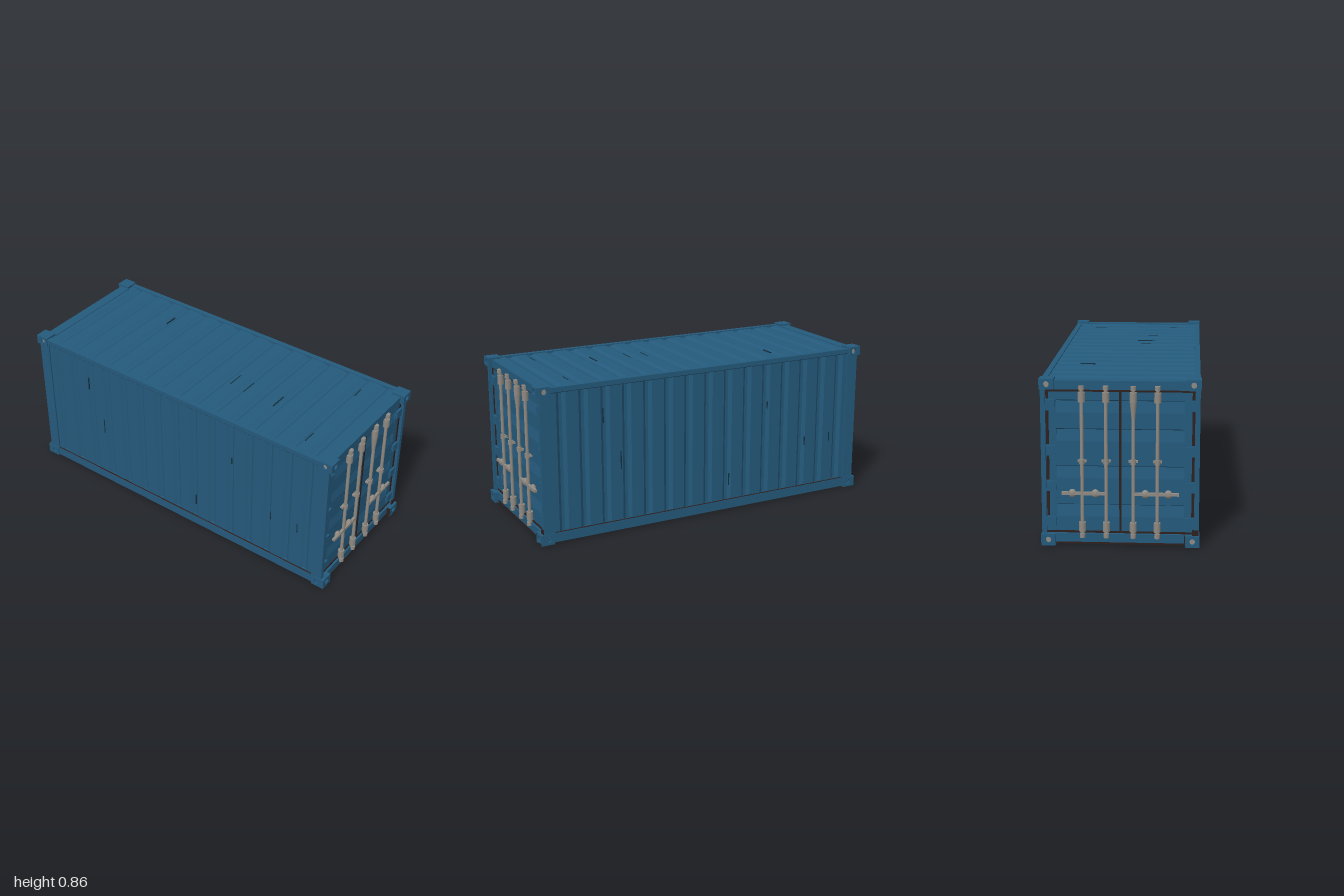
import * as THREE from 'three';

const mat = (name, color, side = THREE.FrontSide) => {
  const m = new THREE.MeshStandardMaterial({ color, side });
  m.name = name;
  return m;
};

export function createModel() {
  const blue = mat('blue paint', 0x24597b);
  const shade = mat('dark blue seam', 0x14303f);
  const rust = mat('dark rust', 0x2e201f);
  const steel = mat('bare steel', 0x8f8981);

  const add = (parent, name, geo, material, x = 0, y = 0, z = 0) => {
    const m = new THREE.Mesh(geo, material);
    m.name = name;
    m.position.set(x, y, z);
    parent.add(m);
    return m;
  };
  // Box given by its limits on each axis
  const box = (parent, name, material, [x0, x1], [y0, y1], [z0, z1]) =>
    add(parent, name, new THREE.BoxGeometry(x1 - x0, y1 - y0, z1 - z0), material,
      (x0 + x1) / 2, (y0 + y1) / 2, (z0 + z1) / 2);
  const rod = (parent, name, r0, r1, y0, y1, x, z, sides = 12) =>
    add(parent, name, new THREE.CylinderGeometry(r1, r0, y1 - y0, sides), steel, x, (y0 + y1) / 2, z);
  const extrude = (shape, depth) =>
    new THREE.ExtrudeGeometry(shape, { depth, bevelEnabled: false, curveSegments: 8 });

  // Corrugated sheet section: trapezoid grooves along x
  const corrugated = (back, face, groove) => {
    const n = 15, half = 0.925, pitch = 2 * half / n;
    const s = new THREE.Shape();
    s.moveTo(half, back);
    s.lineTo(-half, back);
    s.lineTo(-half, face);
    for (let i = 0; i < n; i++) {
      const x = -half + i * pitch;
      s.lineTo(x + 0.035, face);
      s.lineTo(x + 0.053, groove);
      s.lineTo(x + 0.07, groove);
      s.lineTo(x + 0.088, face);
    }
    s.lineTo(half, face);
    s.closePath();
    return s;
  };

  // Corner casting with real openings on the end and side faces
  const platedHole = (w, h, hx) => {
    const s = new THREE.Shape();
    s.moveTo(-w / 2, -h / 2);
    s.lineTo(w / 2, -h / 2);
    s.lineTo(w / 2, h / 2);
    s.lineTo(-w / 2, h / 2);
    s.closePath();
    const hole = new THREE.Path();
    hole.absellipse(hx, 0, 0.014, 0.016, 0, Math.PI * 2, true);
    s.holes.push(hole);
    return extrude(s, 0.012);
  };
  const casting = (parent, y0, y1, sz) => {
    const g = new THREE.Group();
    g.name = 'cornerCasting';
    parent.add(g);
    const h = y1 - y0, yc = (y0 + y1) / 2;
    const zs = [0.325 * sz, 0.386 * sz].sort((a, b) => a - b);
    box(g, 'castingCore', blue, [0.925, 0.988], [y0, y1], zs);
    add(g, 'castingEndFace', platedHole(0.073, h, 0).rotateY(Math.PI / 2), blue, 0.988, yc, 0.3615 * sz);
    const turn = sz > 0 ? 0 : Math.PI;
    add(g, 'castingSideFace', platedHole(0.063, h, 0).rotateY(turn), blue, 0.9565, yc, 0.386 * sz);
    add(g, 'endOpening', new THREE.CircleGeometry(0.016, 12).rotateY(Math.PI / 2), steel, 0.9885, yc, 0.3615 * sz);
    add(g, 'sideOpening', new THREE.CircleGeometry(0.016, 12).rotateY(turn), steel, 0.9565, yc, 0.3865 * sz);
  };

  // One door leaf, stepped by downward sloping horizontal ribs
  const doorLeaf = (parent, z0, z1) => {
    const s = new THREE.Shape();
    s.moveTo(0.93, 0.06);
    s.lineTo(0.962, 0.06);
    for (const y of [0.21, 0.41, 0.6, 0.745]) {
      s.lineTo(0.962, y - 0.065);
      s.lineTo(0.95, y - 0.006);
      s.lineTo(0.962, y);
    }
    s.lineTo(0.962, 0.8);
    s.lineTo(0.93, 0.8);
    s.closePath();
    add(parent, 'doorLeaf', extrude(s, z1 - z0), blue, 0, 0, z0);
  };

  const buildDoorEnd = (g) => {
    box(g, 'header', blue, [0.92, 0.978], [0.8, 0.845], [-0.33, 0.33]);
    box(g, 'sill', blue, [0.92, 0.978], [0.01, 0.06], [-0.33, 0.33]);
    box(g, 'sillRust', rust, [0.977, 0.98], [0.006, 0.015], [-0.33, 0.33]);
    box(g, 'centreGasket', rust, [0.955, 0.964], [0.06, 0.8], [-0.006, 0.006]);
    box(g, 'topGasket', rust, [0.955, 0.966], [0.787, 0.796], [-0.37, 0.37]);
    box(g, 'bottomGasket', rust, [0.955, 0.966], [0.06, 0.07], [-0.37, 0.37]);
    for (const sz of [1, -1]) {
      const span = (a, b) => [a * sz, b * sz].sort((p, q) => p - q);
      doorLeaf(g, ...span(0.005, 0.322));
      box(g, 'doorStile', blue, [0.93, 0.963], [0.06, 0.8], span(0.318, 0.372));
      box(g, 'cornerPost', blue, [0.918, 0.983], [0.05, 0.81], span(0.37, 0.394));
      casting(g, 0, 0.06, sz);
      casting(g, 0.802, 0.855, sz);
      for (const y of [0.12, 0.305, 0.49, 0.72])
        box(g, 'hinge', blue, [0.95, 0.974], [y - 0.024, y + 0.024], span(0.322, 0.374));
      for (const [y0, y1] of [[0.15, 0.275], [0.335, 0.46], [0.52, 0.69], [0.75, 0.79]])
        box(g, 'jambRust', rust, [0.955, 0.966], [y0, y1], span(0.355, 0.369));
      // Locking handle with its two catches
      box(g, 'lockHandle', steel, [0.975, 0.99], [0.264, 0.279], span(0.068, 0.293));
      for (const z of [0.125, 0.24])
        add(g, 'handleCatch', new THREE.SphereGeometry(0.02, 10, 8).scale(0.8, 1.1, 1), steel, 0.976, 0.27, z * sz);
    }
    // Locking bars with guides, collars and cam ends
    for (const z of [0.19, 0.07, -0.065, -0.185]) {
      rod(g, 'lockBar', 0.009, 0.009, 0.045, 0.815, 0.981, z);
      for (const [y0, y1] of [[0.073, 0.122], [0.738, 0.788]])
        rod(g, 'barGuide', 0.0175, 0.0175, y0, y1, 0.98, z);
      for (const y of [0.053, 0.81])
        rod(g, 'camEnd', 0.014, 0.014, y - 0.011, y + 0.011, 0.984, z);
      rod(g, 'midCollar', 0.014, 0.014, 0.424, 0.448, 0.981, z);
      box(g, 'collarBracket', steel, [0.96, 0.98], [0.432, 0.442], [z - 0.023, z + 0.023]);
    }
    rod(g, 'bentBarTaper', 0.008, 0.017, 0.64, 0.738, 0.98, -0.065);
    // Corrosion around the worn lower corner
    box(g, 'cornerRust', rust, [0.98, 0.986], [0.06, 0.088], [-0.392, -0.36]);
    box(g, 'cornerRust', rust, [0.93, 0.999], [0.004, 0.058], [-0.326, -0.321]);
    box(g, 'cornerRust', rust, [0.996, 1.0], [0, 0.012], [-0.396, -0.325]);
  };

  const buildSide = (g) => {
    add(g, 'sideWall', extrude(corrugated(-0.35, -0.386, -0.371), 0.78).rotateX(-Math.PI / 2), blue, 0, 0.05, 0);
    box(g, 'topRail', blue, [-0.93, 0.93], [0.82, 0.846], [0.365, 0.394]);
    box(g, 'bottomRail', blue, [-0.93, 0.93], [0.008, 0.06], [0.36, 0.393]);
    box(g, 'topRailSeam', shade, [-0.92, 0.92], [0.817, 0.821], [0.385, 0.392]);
    box(g, 'bottomRailSeam', rust, [-0.92, 0.92], [0.059, 0.063], [0.384, 0.391]);
    // Short vertical scratches
    for (const [x, y, h] of [[-0.63, 0.66, 0.08], [-0.53, 0.4, 0.1], [0.38, 0.58, 0.04], [0.135, 0.18, 0.07], [0.64, 0.33, 0.05], [0.81, 0.33, 0.06]])
      box(g, 'scratch', shade, [x - 0.003, x + 0.003], [y - h / 2, y + h / 2], [0.382, 0.387]);
  };

  const model = new THREE.Group();
  model.name = 'shippingContainer';

  // Each half holds one door end and one long side; the second is turned around
  for (let i = 0; i < 2; i++) {
    const half = new THREE.Group();
    half.name = i ? 'rearHalf' : 'frontHalf';
    half.rotation.y = i * Math.PI;
    buildDoorEnd(half);
    buildSide(half);
    model.add(half);
  }

  add(model, 'roof', extrude(corrugated(0.8, 0.841, 0.832), 0.74), blue, 0, 0, -0.37);
  box(model, 'floor', blue, [-0.975, 0.975], [0.007, 0.04], [-0.388, 0.388]);
  for (const [x, z, l] of [[0.17, 0.06, 0.1], [0.27, 0.08, 0.1], [0.47, 0.09, 0.1], [-0.49, -0.2, 0.08], [0.77, -0.23, 0.07], [0.77, 0.25, 0.08]])
    box(model, 'roofScratch', shade, [x - 0.003, x + 0.003], [0.836, 0.842], [z - l / 2, z + l / 2]);

  return model;
}
